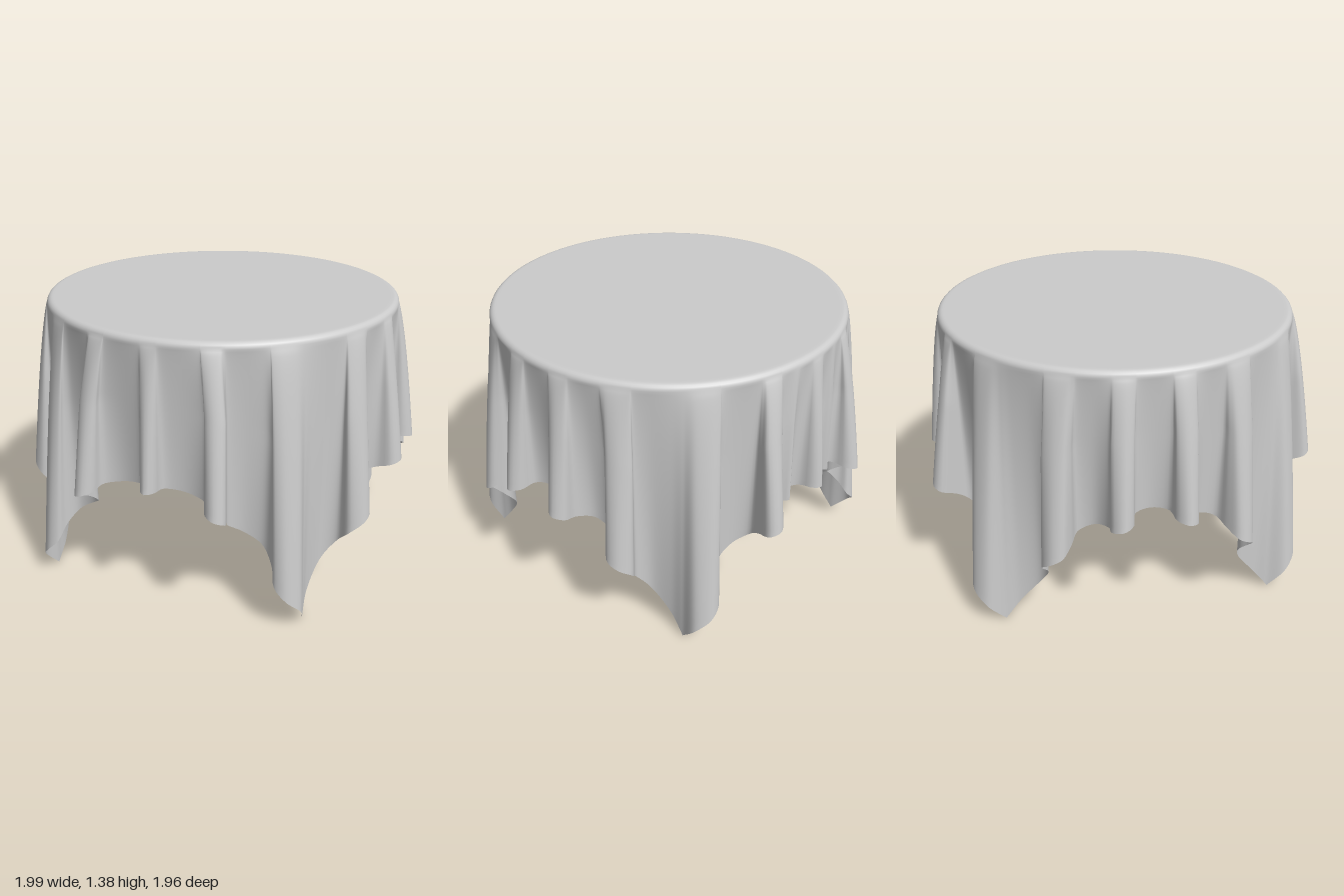
import * as THREE from 'three';

const TOP = 1.385, RIM = 0.885, BEVEL = 0.03, COLS = 150, ROWS = 28;

// Half hems from mid-side to cloth corner: [sideways, outward, height]
const startFold = [[0, 0.975, 0.68], [0.035, 0.945, 0.68], [0.05, 0.88, 0.675]];
const plain = [[0.12, 0.85, 0.665], [0.2, 0.85, 0.65]];
const pleated = [[0.09, 0.85, 0.67], [0.13, 0.87, 0.665], [0.16, 0.905, 0.66], [0.19, 0.87, 0.655], [0.22, 0.85, 0.65]];
const cornerFold = [
  [0.26, 0.88, 0.64], [0.28, 0.95, 0.625], [0.33, 0.98, 0.61], [0.375, 0.95, 0.59],
  [0.35, 0.86, 0.55], [0.335, 0.8, 0.5], [0.39, 0.745, 0.45], [0.48, 0.73, 0.39],
  [0.54, 0.77, 0.31], [0.57, 0.82, 0.23], [0.63, 0.825, 0.17], [0.685, 0.77, 0.1], [0.67, 0.68, 0],
];
const sideHem = [
  [0, 0.85, 0.685], [0.08, 0.88, 0.68], [0.1, 0.96, 0.67], [0.15, 0.995, 0.66], [0.2, 0.96, 0.645],
  [0.2, 0.88, 0.62], [0.25, 0.81, 0.6], [0.33, 0.8, 0.565], [0.37, 0.86, 0.53], [0.42, 0.91, 0.49],
  [0.475, 0.9, 0.46], [0.51, 0.84, 0.41], [0.47, 0.77, 0.33], [0.5, 0.7, 0.23], [0.6, 0.665, 0.1], [0.68, 0.67, 0],
];
const frontHem = [...startFold, ...plain, ...cornerFold];
const backHem = [...startFold, ...pleated, ...cornerFold];

// Samples one side of the hem, corner to corner, as polar columns
function hemColumns(half, quarter) {
  const mirrored = half.slice(1).reverse().map(([u, v, y]) => [-u, v, y]);
  const pts = [...mirrored, ...half].map(([u, v, y]) => new THREE.Vector3(u, y, v));
  const samples = new THREE.CatmullRomCurve3(pts).getSpacedPoints(COLS);
  const tip = Math.atan2(pts.at(-1).x, pts.at(-1).z);
  return samples.slice(0, COLS).map((p, i) => {
    const angle = Math.atan2(p.x, p.z);
    const even = THREE.MathUtils.lerp(-tip, tip, i / COLS);
    const turn = quarter * Math.PI / 2;
    return {
      hemAngle: angle + turn,
      rimAngle: THREE.MathUtils.lerp(angle, even, 0.3) + turn,
      radius: Math.hypot(p.x, p.z),
      y: Math.max(0, p.y),
    };
  });
}

function clothGeometry() {
  const columns = [frontHem, sideHem, backHem, sideHem].flatMap(hemColumns);
  const pos = [], index = [], n = columns.length;
  const ring = (fn) => columns.forEach((c) => {
    const [a, r, y] = fn(c);
    pos.push(r * Math.sin(a), y, r * Math.cos(a));
  });

  // Flat top and rounded rim
  for (const r of [0.001, 0.4, 0.75, 0.84]) ring((c) => [c.rimAngle, r, TOP]);
  for (let k = 0; k <= 5; k++) {
    const b = k / 5 * Math.PI / 2;
    ring((c) => [c.rimAngle, RIM - BEVEL * (1 - Math.sin(b)), TOP - BEVEL * (1 - Math.cos(b))]);
  }
  // Hanging skirt, folds deepening toward the hem
  for (let k = 1; k <= ROWS; k++) {
    const t = (k / ROWS) ** 1.3;
    ring((c) => [
      THREE.MathUtils.lerp(c.rimAngle, c.hemAngle, Math.min(1, 2.5 * t)),
      THREE.MathUtils.lerp(RIM, c.radius, t ** 0.75),
      THREE.MathUtils.lerp(TOP - BEVEL, c.y, t),
    ]);
  }

  const rows = pos.length / 3 / n;
  for (let j = 0; j < rows - 1; j++) {
    for (let i = 0; i < n; i++) {
      const a = j * n + i, c = j * n + (i + 1) % n;
      index.push(a, a + n, c, c, a + n, c + n);
    }
  }
  const geo = new THREE.BufferGeometry();
  geo.setAttribute('position', new THREE.Float32BufferAttribute(pos, 3));
  geo.setIndex(index);
  geo.computeVertexNormals();
  return geo;
}

export function createModel() {
  const group = new THREE.Group();
  group.name = 'drapedTablecloth';
  const material = new THREE.MeshStandardMaterial({ color: 0xcccccc, side: THREE.DoubleSide });
  const cloth = new THREE.Mesh(clothGeometry(), material);
  cloth.name = 'tablecloth';
  cloth.position.z = -0.005;
  group.add(cloth);
  return group;
}
